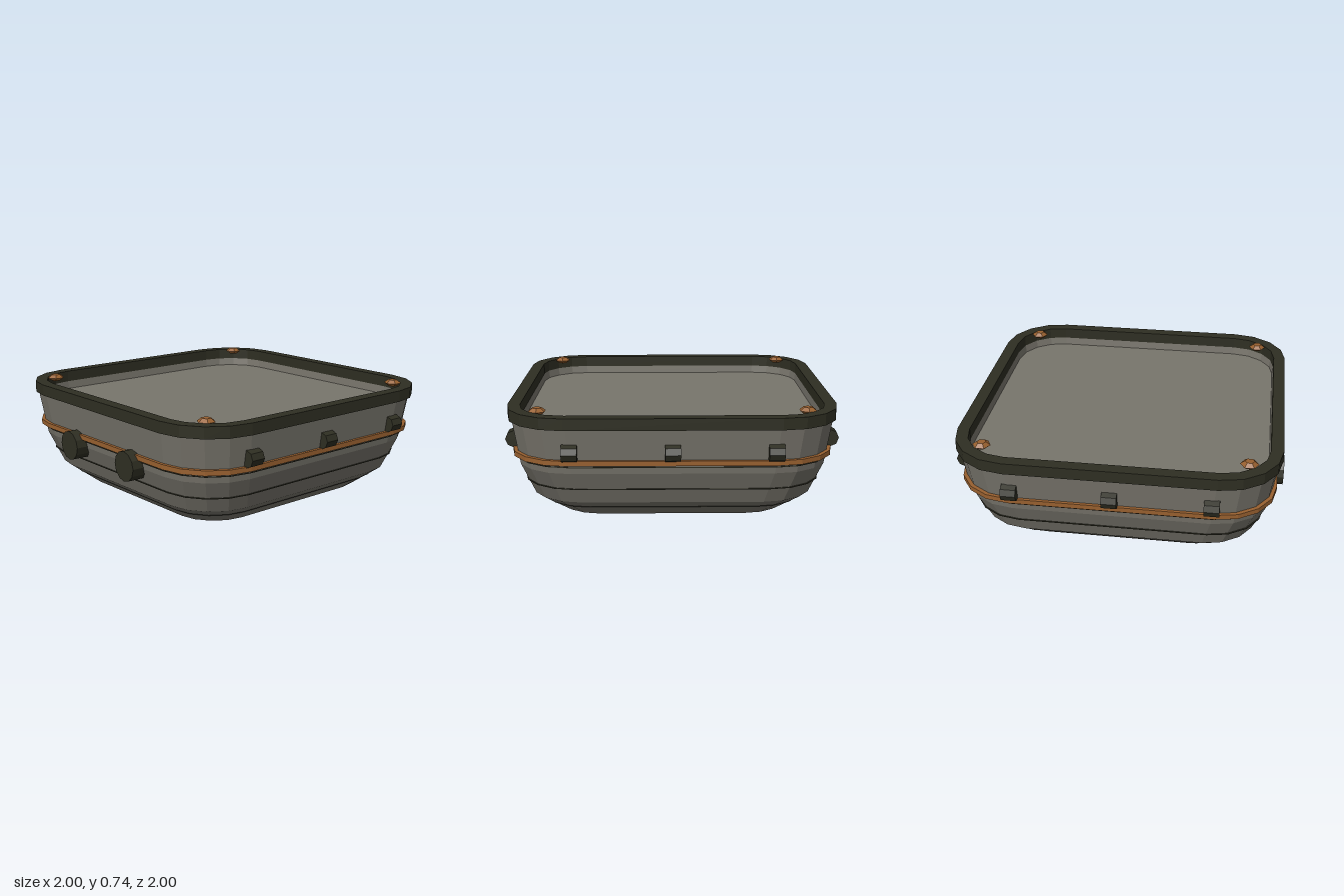
import * as THREE from 'three';

const hullGrey = new THREE.MeshStandardMaterial({ color: 0x78756c });
hullGrey.name = 'hull grey';
const darkOlive = new THREE.MeshStandardMaterial({ color: 0x2e2e22 });
darkOlive.name = 'dark olive';
const copper = new THREE.MeshStandardMaterial({ color: 0x98602f });
copper.name = 'copper';

// Outline of a square with rounded corners, four facets per corner
function roundedSquare(half, radius) {
  const points = [];
  const c = half - radius;
  for (let q = 0; q < 4; q++) {
    const mid = (q + 0.5) * Math.PI / 2;
    const cx = Math.sign(Math.cos(mid)) * c, cz = Math.sign(Math.sin(mid)) * c;
    for (let i = 0; i <= 4; i++) {
      const a = (q + i / 4) * Math.PI / 2;
      points.push([cx + radius * Math.cos(a), cz + radius * Math.sin(a)]);
    }
  }
  return points;
}

// Joins rounded squares, each given as [half width, height, corner radius]
function loft(profile) {
  const rings = profile.map(([half, y, r = half * 0.367]) =>
    roundedSquare(half, r).map(([x, z]) => [x, y, z]));
  const pos = [];
  for (let i = 0; i < rings.length - 1; i++) {
    const n = rings[i].length;
    for (let j = 0; j < n; j++) {
      const k = (j + 1) % n;
      const a = rings[i][j], b = rings[i][k], c = rings[i + 1][j], d = rings[i + 1][k];
      if (profile[i][0] > 0) pos.push(...a, ...c, ...b);
      if (profile[i + 1][0] > 0) pos.push(...b, ...c, ...d);
    }
  }
  const g = new THREE.BufferGeometry();
  g.setAttribute('position', new THREE.Float32BufferAttribute(pos, 3));
  g.computeVertexNormals();
  return g;
}

function flat(geometry) {
  const g = geometry.toNonIndexed();
  g.computeVertexNormals();
  return g;
}

export function createModel() {
  const model = new THREE.Group();
  model.name = 'basin';
  const add = (name, geometry, material, x = 0, y = 0, z = 0, turn = 0) => {
    const mesh = new THREE.Mesh(geometry, material);
    mesh.name = name;
    mesh.position.set(x, y, z);
    mesh.rotation.y = turn;
    model.add(mesh);
  };

  // Outer shell with its closed bottom
  add('hull', loft([[0, 0], [0.45, 0], [0.69, 0.055], [0.845, 0.18],
    [0.925, 0.38], [0.965, 0.65]]), hullGrey);

  // Recessed floor and the wall around it
  add('floor', loft([[0.905, 0.65, 0.285], [0.9, 0.6, 0.285], [0, 0.6]]), hullGrey);

  // Closed rings: rim, copper band and thin seams
  add('rim', loft([[0.905, 0.65, 0.285], [0.98, 0.65, 0.36], [0.98, 0.72, 0.36],
    [0.905, 0.72, 0.285], [0.905, 0.65, 0.285]]), darkOlive);
  const ring = (half, y, h, inner) => loft([[inner, y], [half, y], [half, y + h], [inner, y + h]]);
  add('copperBand', ring(0.957, 0.435, 0.03, 0.92), copper);
  for (const [half, y] of [[0.936, 0.418], [0.89, 0.272], [0.787, 0.13]]) {
    add('seam', ring(half, y, 0.005, half - 0.03), darkOlive);
  }

  // Rounded clips on the front, back and +x sides
  const clip = flat(new THREE.CylinderGeometry(0.052, 0.052, 0.09, 8).rotateZ(Math.PI / 2)
    .rotateX(Math.PI / 8).rotateX(Math.PI / 8));
  for (const s of [-0.59, 0, 0.59]) {
    add('frontClip', clip, darkOlive, s, 0.51, 0.948);
    add('backClip', clip, darkOlive, s, 0.51, -0.948);
    add('sideClip', clip, darkOlive, 0.948, 0.51, s, Math.PI / 2);
  }

  // Round pegs on the -x side
  const peg = flat(new THREE.CylinderGeometry(0.092, 0.092, 0.12, 12).rotateZ(Math.PI / 2));
  for (const z of [-0.295, 0.295]) add('peg', peg, darkOlive, -0.94, 0.39, z);

  // Six-sided bolts in the corners
  const boltProfile = [[0, -0.02], [0.028, -0.02], [0.055, 0], [0.028, 0.02], [0, 0.02]]
    .map(([x, y]) => new THREE.Vector2(x, y));
  const bolt = flat(new THREE.LatheGeometry(boltProfile, 6).rotateY(Math.PI / 6));
  for (const x of [-0.785, 0.785]) {
    for (const z of [-0.785, 0.785]) add('bolt', bolt, copper, x, 0.719, z);
  }
  return model;
}
